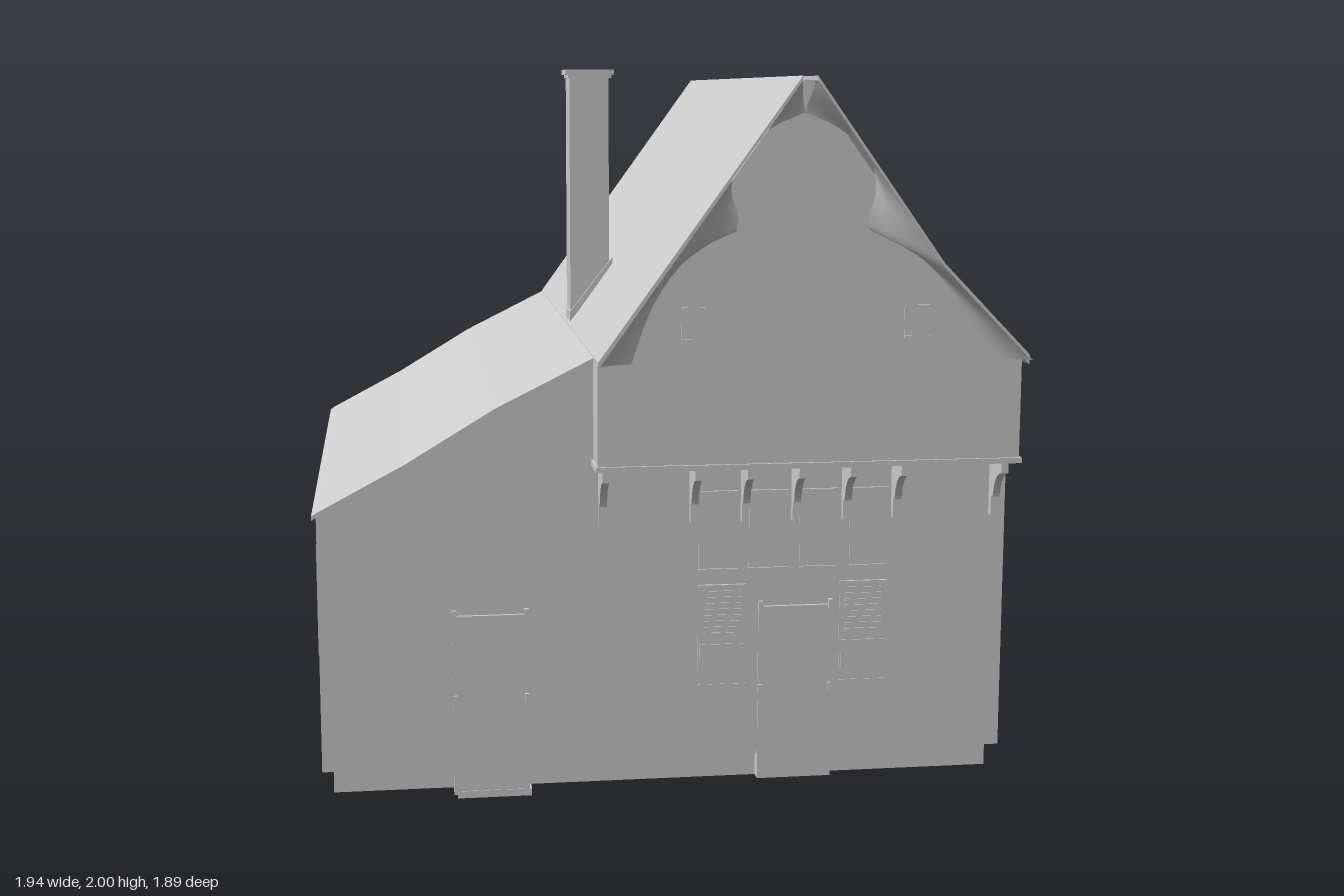
import * as THREE from 'three';

const mat = new THREE.MeshStandardMaterial({ color: 0xcccccc, side: THREE.DoubleSide });

export function createModel() {
  const house = new THREE.Group();
  house.name = 'house';

  const add = (name, geo, parent = house) => {
    const m = new THREE.Mesh(geo, mat);
    m.name = name;
    parent.add(m);
    return m;
  };
  const group = (name) => {
    const g = new THREE.Group();
    g.name = name;
    house.add(g);
    return g;
  };
  // box given by its limits
  const box = (name, x0, x1, y0, y1, z0, z1, parent) => {
    const g = new THREE.BoxGeometry(Math.abs(x1 - x0), y1 - y0, Math.abs(z1 - z0));
    g.translate((x0 + x1) / 2, (y0 + y1) / 2, (z0 + z1) / 2);
    return add(name, g, parent);
  };
  const shape = (pts) => new THREE.Shape(pts.map(([x, y]) => new THREE.Vector2(x, y)));
  // flat wall in the xy plane, facing dir along z
  const wall = (name, pts, z, dir = 1) => {
    const g = new THREE.ShapeGeometry(shape(pts));
    if (dir < 0) g.scale(-1, 1, 1).rotateY(Math.PI);
    if (dir < 0) {
      const idx = g.index.array;
      for (let i = 0; i < idx.length; i += 3) [idx[i], idx[i + 1]] = [idx[i + 1], idx[i]];
      g.computeVertexNormals();
    }
    return add(name, g.translate(0, 0, z));
  };
  // surface through rows of 3D points
  const loft = (name, rows, parent) => {
    const n = rows[0].length, index = [];
    for (let r = 0; r < rows.length - 1; r++)
      for (let i = 0; i < n - 1; i++) {
        const a = r * n + i, b = a + n;
        index.push(a, a + 1, b, a + 1, b + 1, b);
      }
    const g = new THREE.BufferGeometry();
    g.setAttribute('position', new THREE.Float32BufferAttribute(rows.flat(2), 3));
    g.setIndex(index);
    g.computeVertexNormals();
    return add(name, g, parent);
  };
  // vertical side wall at x
  const sideWall = (name, x, y0, y1, z0, z1) =>
    loft(name, [[[x, y0, z0], [x, y0, z1]], [[x, y1, z0], [x, y1, z1]]].map((r) => (x < 0 ? r : r.reverse())));

  const L = -0.96, R = 0.95, J = -0.21, F = 0.77, B = -0.88, F2 = 0.88;
  const leanLine = [[J, 1.225], [-0.48, 1.09], [-0.72, 0.945], [L, 0.815]];
  const gableTop = [[R, 1.215], [0.71, 1.47], [0.355, 1.96], [0.325, 1.96]];

  // walls, open underneath
  wall('frontWall', [[L, 0.09], [R, 0.09], [R, 0.94], [J, 0.94], ...leanLine], F);
  wall('backWall', [[L, 0.09], [R, 0.09], ...gableTop, ...leanLine], B, -1);
  wall('frontGable', [[J, 0.94], [R, 0.94], ...gableTop, [J, 1.225]], F2);
  sideWall('leftWall', R, 0.09, 1.215, B, F);
  sideWall('leftUpperWall', R, 0.94, 1.215, F, F2);
  sideWall('rightWall', L, 0.09, 0.815, B, F);
  sideWall('rightUpperWall', J, 0.94, 1.225, F, F2);
  box('jettyFloor', J - 0.006, R + 0.006, 0.93, 0.945, F, F2 + 0.008);

  // inset footing with a ledge up to the walls
  const ring = (x0, x1, z0, z1, y) => [[x0, y, z0], [x0, y, z1], [x1, y, z1], [x1, y, z0], [x0, y, z0]];
  const outer = ring(L, R, B, F, 0.09), inner = ring(-0.93, 0.92, -0.85, 0.74, 0.09);
  for (let i = 0; i < 4; i++) {
    loft('footingLedge', [[inner[i], inner[i + 1]], [outer[i], outer[i + 1]]]);
    const low = [inner[i], inner[i + 1]].map(([x, , z]) => [x, 0.02, z]);
    loft('footing', [low, [inner[i], inner[i + 1]]]);
  }

  // thin roof sheets from their cross-section
  const roof = (name, line, z0, z1, t = 0.012) => {
    const under = line.map(([x, y]) => [x, y - t]).reverse();
    const g = new THREE.ExtrudeGeometry(shape([...line, ...under]), { depth: z1 - z0, bevelEnabled: false });
    return add(name, g.translate(0, 0, z0));
  };
  roof('mainRoofRight', [[-0.215, 1.235], [0.32, 1.975]], -0.945, 0.945);
  roof('mainRoofLeft', [[0.36, 1.975], [0.71, 1.485], [0.95, 1.237]], -0.945, 0.945);
  roof('eaveLeft', [[0.94, 1.245], [0.968, 1.215]], -0.9, 0.89);
  roof('leanToRoof', [[-0.21, 1.235], [-0.48, 1.1], [-0.72, 0.955], [-0.955, 0.83], [-0.97, 0.82]], -0.945, 0.83);
  box('ridgeStrip', 0.315, 0.365, 1.95, 1.962, -0.9, 0.89);

  // flared gable edges: curved inner outline swept out to the roof edge
  const lower = { [-1]: [[-0.12, 1.22], [-0.065, 1.37], [0.01, 1.48], [0.08, 1.535], [0.16, 1.57]],
    1: [[0.87, 1.22], [0.8, 1.33], [0.71, 1.45], [0.62, 1.525], [0.52, 1.57]] };
  const eave = { [-1]: [[-0.21, 1.222], [0.32, 1.962]], 1: [[0.96, 1.222], [0.71, 1.473], [0.36, 1.962]] };
  const v = ([x, y]) => new THREE.Vector3(x, y, 0);
  for (const end of [1, -1])
    for (const s of [-1, 1]) {
      const c = 0.34;
      const lobe = [[0.18, 1.57], [0.175, 1.61], [0.193, 1.66], [0.19, 1.72], [0.16, 1.78], [0.09, 1.84], [0, 1.88]]
        .map(([x, y]) => v([c + s * x, y]));
      const a = new THREE.CatmullRomCurve3(lower[s].map(v)).getPoints(12);
      const b = new THREE.CatmullRomCurve3(lobe).getPoints(18);
      const inside = [...a, ...b.slice(1)];
      const path = new THREE.CurvePath();
      const e = eave[s].map(v);
      for (let i = 0; i < e.length - 1; i++) path.add(new THREE.LineCurve3(e[i], e[i + 1]));
      const rows = [0, 0.3, 0.65, 1].map((k) => inside.map((p, i) => {
        const q = p.clone().lerp(path.getPointAt(i / (inside.length - 1)), k);
        return [q.x, q.y, end * (0.883 + 0.06 * k * k)];
      }));
      loft('gableFlare', s * end < 0 ? rows.reverse() : rows);
    }

  // chimney with cap and sloping collar on the roof
  box('chimneyStack', -0.208, -0.09, 1.2, 1.98, -0.03, 0.09);
  box('chimneyCapLower', -0.212, -0.082, 1.975, 1.985, -0.037, 0.097);
  box('chimneyCap', -0.22, -0.075, 1.985, 2, -0.043, 0.103);
  roof('chimneyCollar', [[-0.21, 1.275], [-0.08, 1.44]], -0.04, 0.1, 0.03);

  // curved brackets under the jetty
  const bracket = new THREE.Shape();
  bracket.moveTo(0, 0.93);
  bracket.lineTo(0.105, 0.93);
  bracket.lineTo(0.105, 0.9);
  bracket.quadraticCurveTo(0.05, 0.89, 0.035, 0.82);
  bracket.lineTo(0.02, 0.82);
  bracket.lineTo(0.02, 0.765);
  bracket.lineTo(0, 0.765);
  for (const x of [-0.187, 0.065, 0.208, 0.35, 0.492, 0.633, 0.913]) {
    const g = new THREE.ExtrudeGeometry(bracket, { depth: 0.02, bevelEnabled: false });
    add('bracket', g.rotateY(-Math.PI / 2).translate(x + 0.01, 0, F));
  }

  // doors: boxes set through the wall, with hinges
  const door = (name, x0, x1, y0, y1, z, s) => {
    const g = group(name);
    box('doorLeaf', x0, x1, y0, y1, z - s * 0.09, z + s * 0.004, g);
    box('doorHead', x0, x1, y1 - 0.006, y1, z, z + s * 0.01, g);
    for (const y of [0.27, y1 - 0.01])
      for (const x of [x0, x1 - 0.012]) box('hinge', x, x + 0.012, y, y + 0.025, z, z + s * 0.012, g);
  };
  door('rightFrontDoor', -0.6, -0.39, 0.01, 0.52, F, 1);
  door('leftFrontDoor', 0.25, 0.46, 0.02, 0.52, F, 1);
  door('backDoor', -0.6, -0.37, 0.01, 0.55, B, -1);
  box('doorStep', -0.59, -0.385, 0, 0.02, F - 0.09, F + 0.006);

  // small windows: shallow box with raised head and sill
  const windowBox = (name, x0, x1, y0, y1, z, s) => {
    const g = group(name);
    box('pane', x0, x1, y0, y1, z - s * 0.03, z + s * 0.003, g);
    for (const y of [y0, y1 - 0.006]) box('rail', x0, x1, y, y + 0.006, z, z + s * 0.008, g);
    return g;
  };
  for (const [x0, x1] of [[0.015, 0.08], [0.62, 0.69]]) {
    windowBox('gableWindow', x0, x1, 1.28, 1.37, F2, 1);
    windowBox('backGableWindow', x0, x1, 1.28, 1.37, B, -1);
  }
  windowBox('backWindow', 0.71, 0.87, 0.55, 0.77, B, -1);
  for (let i = 0; i < 4; i++) {
    const x = 0.08 + i * 0.142;
    windowBox('upperFrontWindow', x, x + 0.11, 0.625, 0.85, F, 1);
  }

  // louvred shutters beside the front door
  for (const x of [0.08, 0.48]) {
    const g = windowBox('frontShutter', x, x + 0.135, 0.295, 0.585, F, 1);
    box('lowerPanel', x + 0.005, x + 0.13, 0.3, 0.415, F, F + 0.006, g);
    for (let i = 0; i < 8; i++)
      box('louvre', x + 0.015, x + 0.12, 0.44 + i * 0.017, 0.448 + i * 0.017, F, F + 0.006, g);
  }

  // long five-bay windows on both side walls
  for (const s of [1, -1]) {
    const g = group(s > 0 ? 'leftLongWindow' : 'rightLongWindow');
    const x = s > 0 ? R : L;
    box('windowBox', x - s * 0.07, x + s * 0.003, 0.33, 0.67, -0.82, 0.47, g);
    for (const y of [0.33, 0.58, 0.655])
      box('rail', x, x + s * 0.008, y, y + 0.01, -0.82, 0.47, g);
    for (let i = 0; i <= 5; i++) {
      const z = 0.47 - i * 0.258;
      box('post', x, x + s * 0.014, 0.34, 0.66, z - 0.008, z + 0.008, g);
      if (i < 5)
        for (const k of [0.08, 0.17])
          box('mullion', x, x + s * 0.006, 0.34, 0.655, z - k - 0.005, z - k + 0.005, g);
    }
  }
  return house;
}
